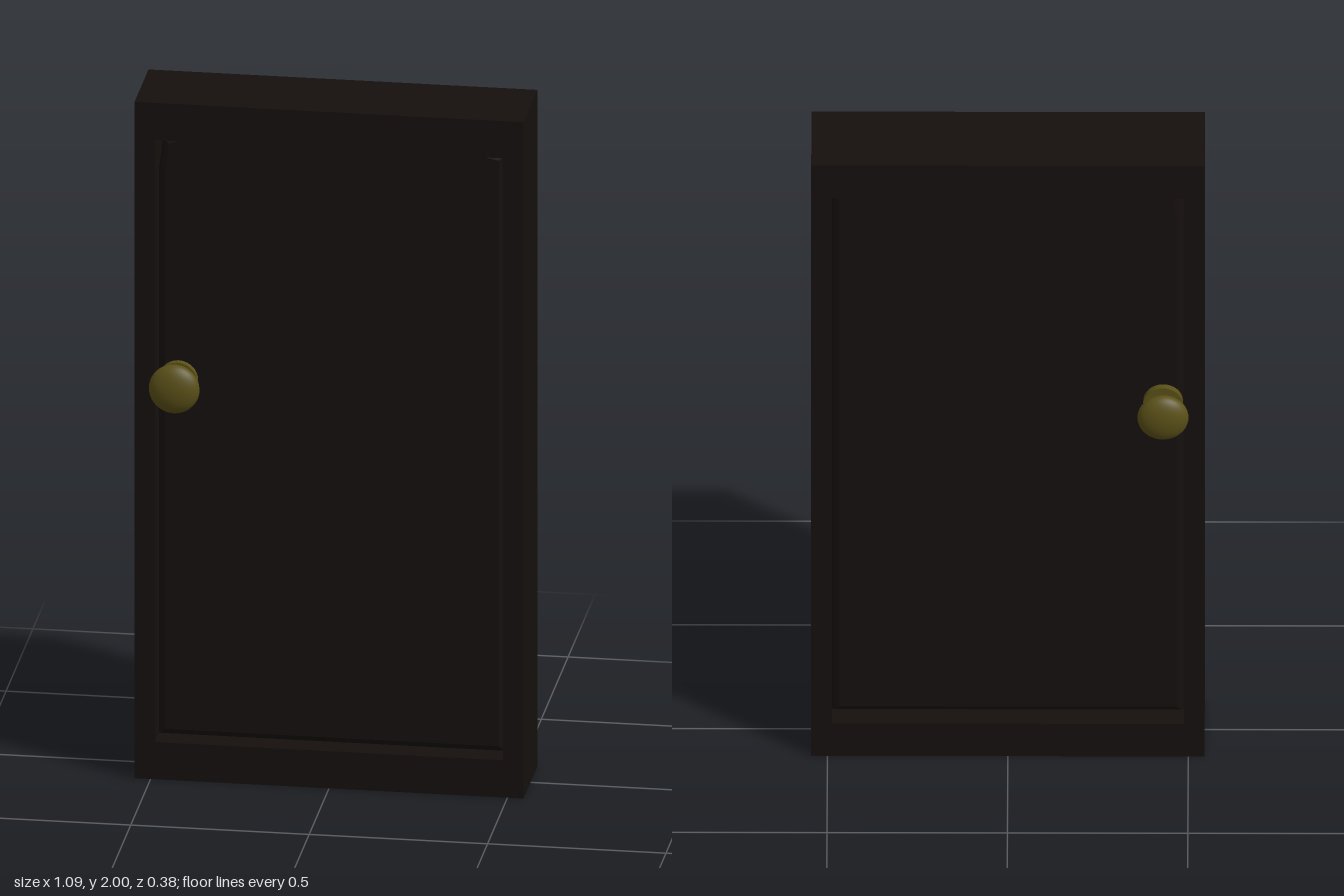
import * as THREE from 'three';

const W = 0.545, H = 2, D = 0.13;            // half width, height, half depth
const OX = 0.488, OY0 = 0.11, OY1 = 1.89;    // frame opening
const PANEL = 0.075;                         // half thickness of the inset panel

const dark = new THREE.MeshStandardMaterial({ color: 0x15100e });
const brass = new THREE.MeshStandardMaterial({ color: 0x5a5018 });

function polygon(points, Type = THREE.Shape) {
  return new Type(points.map(([x, y]) => new THREE.Vector2(x, y)));
}

function add(parent, name, geometry, material) {
  const mesh = new THREE.Mesh(geometry, material);
  mesh.name = name;
  parent.add(mesh);
  return mesh;
}

export function createModel() {
  const door = new THREE.Group();
  door.name = 'door';

  // Rectangular frame with an open middle
  const outline = polygon([[-W, 0], [W, 0], [W, H], [-W, H]]);
  outline.holes.push(polygon([[-OX, OY0], [-OX, OY1], [OX, OY1], [OX, OY0]], THREE.Path));
  const frame = new THREE.ExtrudeGeometry(outline, { depth: 2 * D, bevelEnabled: false });
  frame.translate(0, 0, -D);
  add(door, 'frame', frame, dark);

  // Inset panel with cut corners, leaving small gaps at the top
  const panelShape = polygon([
    [-OX, OY0], [OX, OY0], [OX, OY1 - 0.012], [0.43, OY1],
    [-0.43, OY1], [-0.475, OY1 - 0.015], [-OX, OY1 - 0.11],
  ]);
  const bevel = 0.02;
  const panel = new THREE.ExtrudeGeometry(panelShape, {
    depth: 2 * (PANEL - bevel), bevelThickness: bevel, bevelSize: bevel,
    bevelOffset: -bevel, bevelSegments: 2,
  });
  panel.translate(0, 0, bevel - PANEL);
  add(door, 'panel', panel, dark);

  // Matching knobs on both faces: flattened ball, neck and rose
  for (const side of [1, -1]) {
    const knob = new THREE.Group();
    knob.name = side > 0 ? 'frontKnob' : 'backKnob';
    knob.position.set(-0.43, 1.167, 0);
    const ball = add(knob, 'ball', new THREE.SphereGeometry(0.071, 32, 20), brass);
    ball.scale.z = 0.5;
    ball.position.z = side * 0.156;
    const neck = add(knob, 'neck', new THREE.CylinderGeometry(0.03, 0.03, 0.08, 24), brass);
    neck.rotation.x = Math.PI / 2;
    neck.position.z = side * 0.11;
    const rose = add(knob, 'rose', new THREE.CylinderGeometry(0.055, 0.055, 0.02, 32), brass);
    rose.rotation.x = Math.PI / 2;
    rose.position.z = side * (PANEL + 0.01);
    door.add(knob);
  }
  return door;
}
